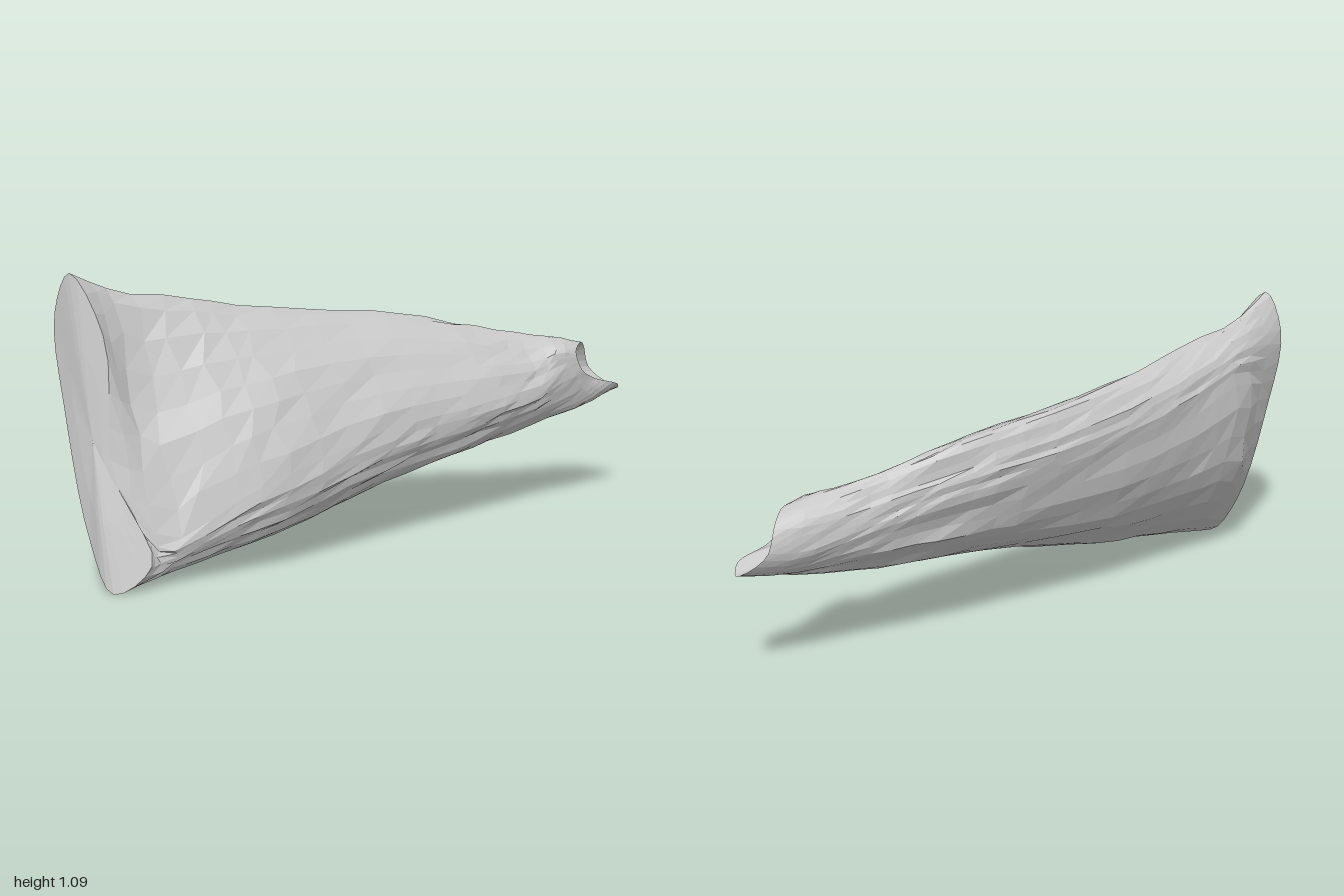
import * as THREE from 'three';

const AROUND = 34, ALONG = 22;

// Local frame: s runs from the broad end to the tip, n is sideways
const place = (s, n, y) => new THREE.Vector3(0.572 * s + 0.823 * n, y, -0.823 * s + 0.572 * n);
const vec = ([x, y, z]) => new THREE.Vector3(x, y, z);

function seeded(seed) {
  return () => {
    seed = (seed * 16807) % 2147483647;
    return seed / 2147483647;
  };
}

// Cross-sections: s, bulge of the front, then (n, y) of the top, right, bottom and left points
const SECTIONS = [
  [-0.90, 0.01, -0.09, 1.0, 0.22, 0.14, 0.185, 0.035, -0.18, 0.82],
  [-0.65, 0.08, -0.10, 0.95, 0.26, 0.25, 0.175, 0.085, -0.195, 0.74],
  [-0.40, 0.12, -0.12, 0.9, 0.28, 0.33, 0.155, 0.125, -0.2, 0.68],
  [0.0, 0.12, -0.145, 0.855, 0.23, 0.42, 0.12, 0.22, -0.195, 0.63],
  [0.30, 0.12, -0.12, 0.815, 0.19, 0.45, 0.09, 0.27, -0.165, 0.61],
  [0.55, 0.12, -0.06, 0.75, 0.172, 0.48, 0.055, 0.31, -0.125, 0.58],
  [0.78, 0.12, -0.02, 0.70, 0.135, 0.51, 0.055, 0.345, -0.1, 0.55],
];

// Slanted rims of the two ends and the neck before the tip, in the same order around
const BROAD_RIM = [[-0.68, 1.085, 0.87], [-0.55, 0.86, 0.865], [-0.5, 0.4, 0.915], [-0.35, 0.1, 0.92],
  [-0.46, 0, 1], [-0.58, 0.17, 0.95], [-0.7, 0.6, 0.89], [-0.75, 0.93, 0.86]].map(vec);
const TIP_NECK = [[0.55, 0.675, -0.77], [0.6, 0.645, -0.68], [0.625, 0.56, -0.69], [0.65, 0.475, -0.755],
  [0.66, 0.405, -0.83], [0.625, 0.415, -0.87], [0.54, 0.5, -0.88], [0.52, 0.62, -0.845]].map(vec);
const TIP_RIM = [[0.63, 0.65, -0.84], [0.64, 0.625, -0.75], [0.66, 0.56, -0.76], [0.69, 0.51, -0.84],
  [0.755, 0.475, -0.94], [0.735, 0.445, -1], [0.63, 0.52, -0.975], [0.62, 0.62, -0.92]].map(vec);

// Eight points: the four extremes with bulged midpoints between them
function sectionPoints([s, frontBulge, ...v]) {
  const points = [];
  for (let k = 0; k < 4; k++) {
    const bulge = k === 0 ? frontBulge : 0.15;
    const [n0, y0] = [v[2 * k], v[2 * k + 1]];
    const [n1, y1] = [v[(2 * k + 2) % 8], v[(2 * k + 3) % 8]];
    points.push(place(s, n0, y0));
    points.push(place(s, (n0 + n1) / 2 + bulge * (y0 - y1), (y0 + y1) / 2 + bulge * (n1 - n0)));
  }
  return points;
}

function closedRing(points) {
  const curve = new THREE.CatmullRomCurve3(points, true);
  return Array.from({ length: AROUND }, (_, j) => curve.getPoint(j / AROUND));
}

function centreOf(ring) {
  return ring.reduce((sum, p) => sum.add(p), new THREE.Vector3()).divideScalar(ring.length);
}

// Copy of a ring, scaled about its centre and moved
function innerRing(ring, scale, offset) {
  const c = centreOf(ring);
  return ring.map((p) => p.clone().sub(c).multiplyScalar(scale).add(c).add(offset));
}

function gridMesh(name, rings, material) {
  const index = [];
  for (let i = 0; i < rings.length - 1; i++) {
    for (let j = 0; j < AROUND; j++) {
      const k = (j + 1) % AROUND;
      const a = i * AROUND + j, b = i * AROUND + k;
      index.push(a, b, a + AROUND, b, b + AROUND, a + AROUND);
    }
  }
  const geometry = new THREE.BufferGeometry().setFromPoints(rings.flat());
  geometry.setIndex(index);
  const flat = geometry.toNonIndexed();
  flat.computeVertexNormals();
  const mesh = new THREE.Mesh(flat, material);
  mesh.name = name;
  return mesh;
}

export function createModel() {
  const group = new THREE.Group();
  group.name = 'hollowTaperedFragment';
  const stone = new THREE.MeshStandardMaterial({ color: 0xc8c8c8 });
  stone.name = 'pale grey stone';
  const random = seeded(4217);

  // Smooth loft from rim to rim
  const stations = [BROAD_RIM, ...SECTIONS.map(sectionPoints), TIP_NECK, TIP_RIM].map(closedRing);
  const columns = Array.from({ length: AROUND }, (_, j) =>
    new THREE.CatmullRomCurve3(stations.map((ring) => ring[j])));
  const rings = Array.from({ length: ALONG + 1 }, (_, i) => columns.map((c) => c.getPoint(i / ALONG)));

  // Lengthwise grooves and chipped facets, fading out at both rims
  const grooves = columns.map(() => [random() * 6.28, 4 + random() * 8]);
  rings.forEach((ring, i) => {
    const t = i / ALONG;
    const fade = Math.min(1, 6 * t, 3 * (1 - t));
    const c = centreOf(ring);
    ring.forEach((p, j) => {
      const [phase, rate] = grooves[j];
      const depth = 0.006 * Math.sin(phase + rate * t) + 0.009 * (random() - 0.5);
      const slide = (random() - 0.5) * 0.05 * fade;
      p.addScaledVector(p.clone().sub(c).normalize(), depth * fade);
      p.add(place(slide, 0, 0));
    });
  });
  group.add(gridMesh('body', rings, stone));

  // Slightly bulged broken face at the broad end
  const broad = rings[0];
  const face = [innerRing(broad, 0, place(-0.01, 0, 0)), innerRing(broad, 0.55, place(-0.008, 0, 0)), broad];
  group.add(gridMesh('broadEndFace', face, stone));

  // Hollow at the narrow end
  const tip = rings[ALONG];
  const hollow = [tip, innerRing(tip, 0.8, place(-0.1, 0, 0)), innerRing(tip, 0, place(-0.17, 0, 0))];
  group.add(gridMesh('tipHollow', hollow, stone));

  return group;
}
